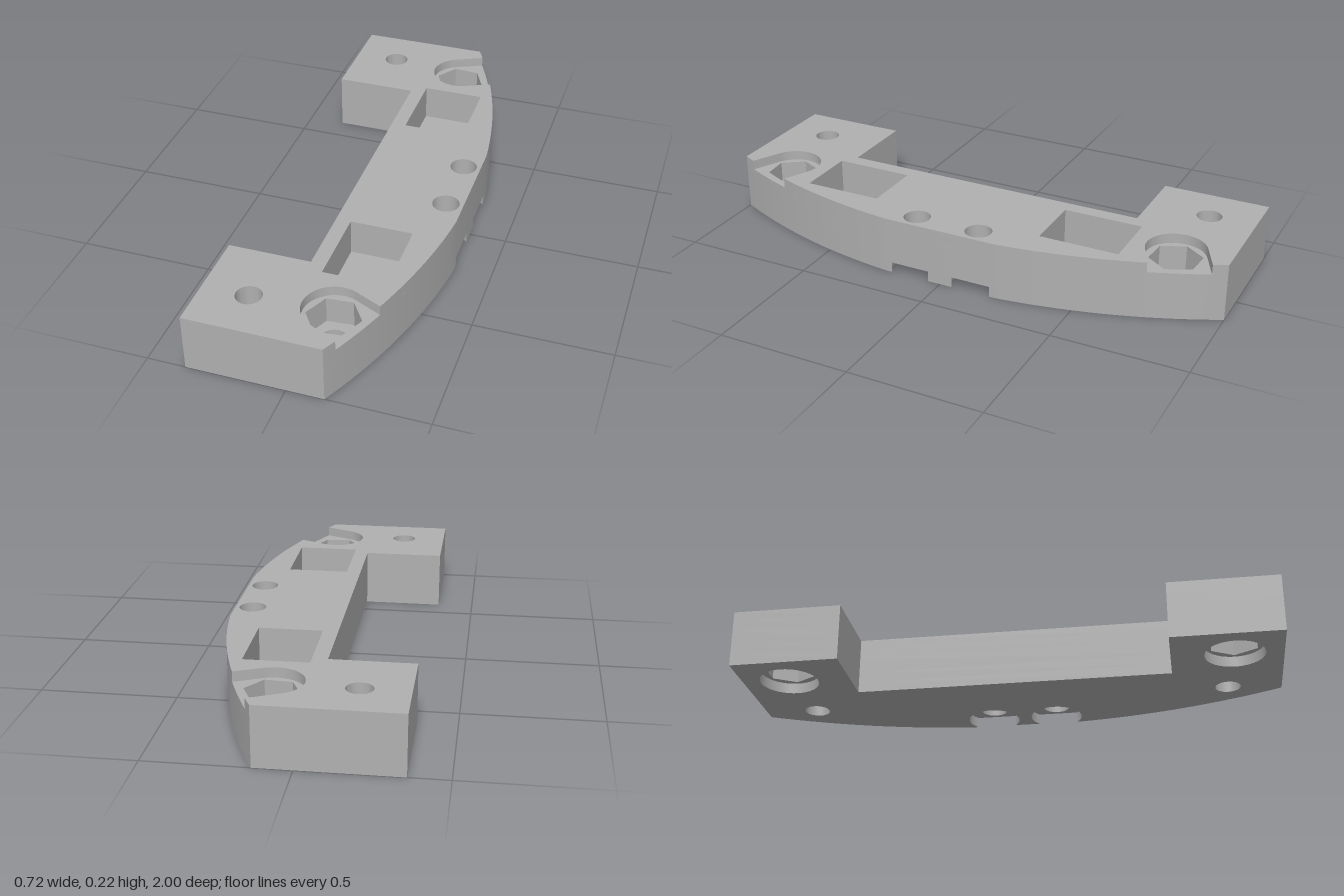
import * as THREE from 'three';
import { mergeGeometries, toCreasedNormals } from 'three/addons/utils/BufferGeometryUtils.js';

const HEIGHT = 0.217;
const RAD = Math.PI / 180;

// Points along a circular arc, angles in degrees
function arc(cx, cy, r, from, to, n) {
  return Array.from({ length: n + 1 }, (_, i) => {
    const a = (from + (to - from) * i / n) * RAD;
    return new THREE.Vector2(cx + r * Math.cos(a), cy + r * Math.sin(a));
  });
}

// Closed regular polygon, used for round holes and hex pockets
const ring = (cx, cy, r, n = 32, rot = 0) => arc(cx, cy, r, rot, rot + 360, n).slice(0, n);

// x of the bowed outer edge at a distance y from the middle
const bowX = (y) => Math.min(0.36, -1.866 + Math.sqrt(2.237 * 2.237 - y * y));
function bow(from, to, n) {
  return Array.from({ length: n + 1 }, (_, i) => {
    const y = from + (to - from) * i / n;
    return new THREE.Vector2(bowX(y), y);
  });
}

const mirror = (points) => points.map((p) => new THREE.Vector2(p.x, -p.y)).reverse();

// Plan outline, optionally cut by the edge recesses under the bolts or by the nut slots
function outline(boltRecess, nutSlot) {
  const half = [];
  if (boltRecess) half.push(...arc(0.295, 0.125, 0.1, -49.46, -310.54, 36));
  if (nutSlot) {
    half.push(...bow(0.222, 0.745, 14), ...arc(0.1, 0.8, 0.11, -65, -245, 28), ...bow(0.95, 1, 2));
  } else {
    half.push(...bow(0.222, 1, 22));
  }
  // square ear at the end
  [[-0.36, 1], [-0.36, 0.595], [-0.055, 0.595]].forEach(([x, y]) => half.push(new THREE.Vector2(x, y)));
  return [...mirror(half), ...half];
}

// One horizontal slice of the body; holes are given for one end and mirrored
function slice(y0, y1, holes, boltRecess = false, nutSlot = false) {
  const shape = new THREE.Shape(outline(boltRecess, nutSlot));
  for (const h of holes) {
    shape.holes.push(new THREE.Path(h), new THREE.Path(mirror(h)));
  }
  const g = new THREE.ExtrudeGeometry(shape, { depth: y1 - y0, bevelEnabled: false });
  g.rotateX(-Math.PI / 2);
  g.translate(0, y0, 0);
  return g;
}

export function createModel() {
  const grey = new THREE.MeshStandardMaterial({ color: 0xb0b0b0 });
  grey.name = 'plain grey';

  const boltHole = ring(0.295, 0.125, 0.05);
  const earHole = ring(-0.19, 0.825, 0.047);
  const earHex = ring(-0.19, 0.825, 0.097, 6);
  const earBore = ring(-0.19, 0.825, 0.11, 40);
  const nutHole = ring(0.1, 0.8, 0.048);
  const nutHex = ring(0.1, 0.8, 0.097, 6, -5);
  const pocket = [[0, 0.335], [0.232, 0.335], [0.232, 0.635], [0, 0.635]]
    .map(([x, y]) => new THREE.Vector2(x, y));

  const body = mergeGeometries([
    slice(0, 0.04, [earBore, nutHole], true),                            // recesses underneath
    slice(0.04, 0.08, [boltHole, earHex, nutHole]),                      // ear hex pockets
    slice(0.08, 0.14, [boltHole, earHex, nutHex, pocket]),               // both hexes, square pockets
    slice(0.14, 0.18, [boltHole, earHole, nutHex, pocket]),
    slice(0.18, HEIGHT, [boltHole, earHole, pocket], false, true),       // open nut slots on top
  ]);

  const bracket = new THREE.Mesh(toCreasedNormals(body, 0.5), grey);
  bracket.name = 'curvedBracket';
  const group = new THREE.Group();
  group.name = 'mountingBracket';
  group.add(bracket);
  return group;
}
